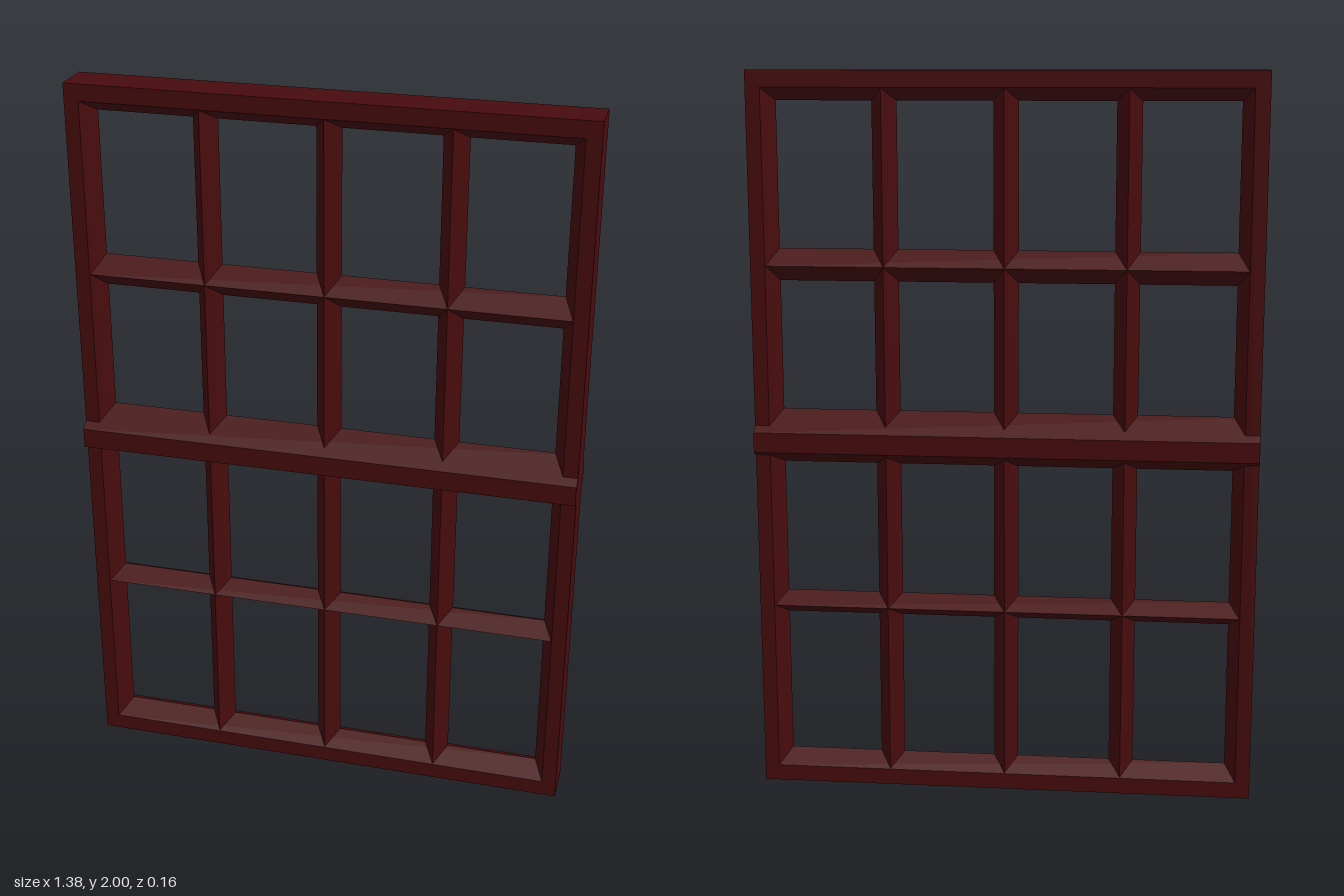
import * as THREE from 'three';

const HALF_W = 0.69, DEPTH = 0.057;
const wood = new THREE.MeshStandardMaterial({ color: 0x480c0e, flatShading: true });

// Rectangular frame swept from a mitred cross-section: [x inset, y inset, z]
function frameGeometry() {
  const profile = [
    [0, 0, DEPTH], [0.04, 0.045, DEPTH], [0.07, 0.08, 0],
    [0.04, 0.045, -DEPTH], [0, 0, -DEPTH],
  ];
  const corners = [[-1, -1], [1, -1], [1, 1], [-1, 1]];
  const point = (p, c) => {
    const [ix, iy, z] = profile[p % profile.length];
    const [sx, sy] = corners[c % 4];
    return [sx * (HALF_W - ix), 1 + sy * (1 - iy), z];
  };
  const pos = [];
  for (let p = 0; p < profile.length; p++) {
    for (let c = 0; c < 4; c++) {
      const a = point(p, c), b = point(p, c + 1), d = point(p + 1, c + 1), e = point(p + 1, c);
      pos.push(...a, ...b, ...d, ...a, ...d, ...e);
    }
  }
  const geo = new THREE.BufferGeometry();
  geo.setAttribute('position', new THREE.Float32BufferAttribute(pos, 3));
  geo.computeVertexNormals();
  return geo;
}

// Straight bar along z, centred, with a polygon cross-section
function barGeometry(points, length) {
  const shape = new THREE.Shape(points.map(([x, y]) => new THREE.Vector2(x, y)));
  return new THREE.ExtrudeGeometry(shape, { depth: length, bevelEnabled: false })
    .translate(0, 0, -length / 2);
}

export function createModel() {
  const group = new THREE.Group();
  const add = (name, geo, x = 0, y = 0) => {
    const mesh = new THREE.Mesh(geo, wood);
    mesh.name = name;
    mesh.position.set(x, y, 0);
    group.add(mesh);
  };

  add('outerFrame', frameGeometry());

  // Thick meeting rail, standing proud of the frame on both faces
  const rail = [[0.08, -0.03], [0.08, 0.025], [0, 0.08], [-0.08, 0.025], [-0.08, -0.03], [0, -0.07]];
  add('meetingRail', barGeometry(rail, HALF_W * 2).rotateY(Math.PI / 2), 0, 1);

  // Glazing bars with a diamond section
  const ridge = 0.055;
  for (const x of [-0.327, 0, 0.327]) {
    const section = [[0.034, 0], [0, ridge], [-0.034, 0], [0, -ridge]];
    add('verticalGlazingBar', barGeometry(section, 1.93).rotateX(-Math.PI / 2), x, 1);
  }
  for (const [y, half] of [[1.481, 0.044], [0.524, 0.032]]) {
    const section = [[ridge, 0], [0, half], [-ridge, 0], [0, -half]];
    add('horizontalGlazingBar', barGeometry(section, 1.32).rotateY(Math.PI / 2), 0, y);
  }
  return group;
}
